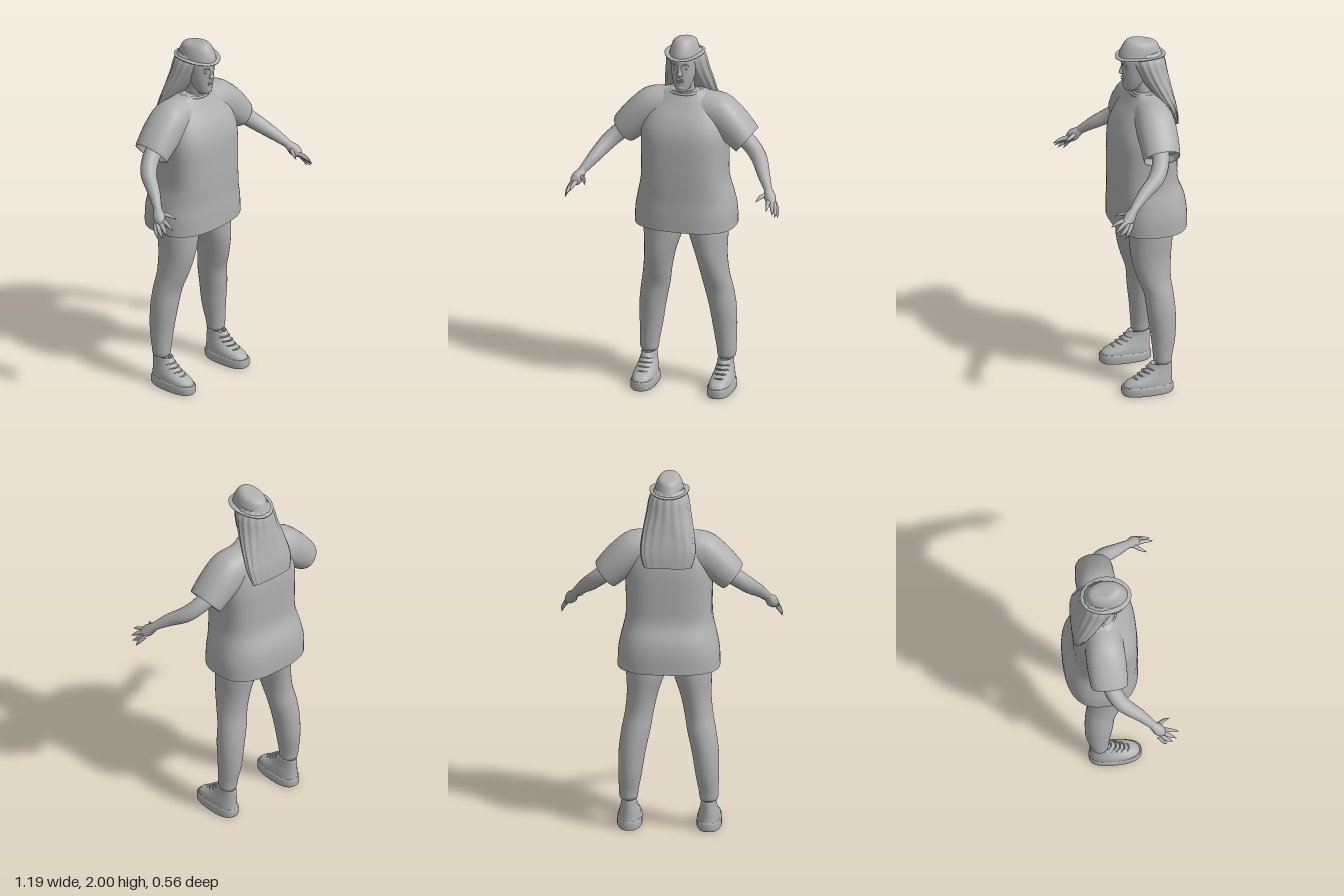
import * as THREE from 'three';

const grey = new THREE.MeshStandardMaterial({ color: 0xb0b0b0 });
grey.name = 'clay grey';

// Ring: [x, y, z, half width, half depth, squareness, tilt]; rings run from bottom to top.
function loft(rings, { sides = 32, steps = 4, ripple = 0, rule = null } = {}) {
  const full = rings.map(r => [r[0], r[1], r[2], r[3], r[4], r[5] ?? 2, r[6] ?? 0]);
  const rows = [];
  for (let i = 0; i < full.length - 1; i++) {
    const a = full[Math.max(i - 1, 0)], b = full[i], c = full[i + 1], d = full[Math.min(i + 2, full.length - 1)];
    for (let s = 0; s < steps; s++) {
      const t = s / steps;
      rows.push(b.map((v, k) => v + 0.5 * t * (c[k] - a[k]
        + t * (2 * a[k] - 5 * v + 4 * c[k] - d[k] + t * (3 * (v - c[k]) + d[k] - a[k])))));
    }
  }
  rows.push(full[full.length - 1]);
  const pos = [], idx = [];
  const addRow = ([x, y, z, a, b, n, tilt]) => {
    for (let j = 0; j < sides; j++) {
      const th = (j / sides) * Math.PI * 2, c = Math.cos(th), s = Math.sin(th);
      const k = 1 + ripple * Math.sin(th * 16);
      const u = Math.sign(c) * Math.abs(c) ** (2 / n) * a * k;
      const w = Math.sign(s) * Math.abs(s) ** (2 / n) * b * k;
      pos.push(x + u * Math.cos(tilt), y + u * Math.sin(tilt), z + w);
    }
  };
  rows.forEach(addRow);
  for (let i = 0; i < rows.length - 1; i++) {
    for (let j = 0; j < sides; j++) {
      const p = i * sides + j, q = i * sides + (j + 1) % sides;
      idx.push(p, p + sides, q, q, p + sides, q + sides);
    }
  }
  // end caps with their own corners, so that the rims stay sharp
  [rows[0], rows[rows.length - 1]].forEach((row, end) => {
    const base = pos.length / 3;
    addRow(row);
    pos.push(row[0], row[1], row[2]);
    for (let j = 0; j < sides; j++) {
      const p = base + j, q = base + (j + 1) % sides;
      idx.push(base + sides, end ? q : p, end ? p : q);
    }
  });
  if (rule) for (let i = 0; i < pos.length; i += 3) pos[i + 1] += rule(pos[i], pos[i + 1], pos[i + 2]);
  const geo = new THREE.BufferGeometry();
  geo.setAttribute('position', new THREE.Float32BufferAttribute(pos, 3));
  geo.setIndex(idx);
  geo.computeVertexNormals();
  return geo;
}

// Round limb along a curve whose radius changes evenly between the given values.
function limb(points, radii, segments = 16, sides = 14) {
  const curve = new THREE.CatmullRomCurve3(points.map(p => new THREE.Vector3(...p)));
  const geo = new THREE.TubeGeometry(curve, segments, 1, sides, false);
  const pos = geo.attributes.position, v = new THREE.Vector3();
  for (let i = 0; i <= segments; i++) {
    const c = curve.getPointAt(i / segments), f = (i / segments) * (radii.length - 1);
    const k = Math.min(Math.floor(f), radii.length - 2);
    const r = THREE.MathUtils.lerp(radii[k], radii[k + 1], f - k);
    for (let j = 0; j <= sides; j++) {
      const n = i * (sides + 1) + j;
      v.fromBufferAttribute(pos, n).sub(c).multiplyScalar(r).add(c);
      pos.setXYZ(n, v.x, v.y, v.z);
    }
  }
  return geo;
}

function ball(x, y, z, a, b, c) {
  return new THREE.SphereGeometry(1, 16, 12).scale(a, b, c).translate(x, y, z);
}

function mirrored(geo) {
  const g = geo.clone().scale(-1, 1, 1), idx = g.index.array;
  for (let i = 0; i < idx.length; i += 3) [idx[i], idx[i + 1]] = [idx[i + 1], idx[i]];
  g.computeVertexNormals();
  return g;
}

export function createModel() {
  const model = new THREE.Group();
  model.name = 'standingFigure';
  const add = (name, geo) => {
    const mesh = new THREE.Mesh(geo, grey);
    mesh.name = name;
    model.add(mesh);
  };
  const pair = (name, geo) => {
    add('left' + name, geo);
    add('right' + name, mirrored(geo));
  };

  // Loose shirt
  add('shirtBody', loft([
    [0, 0.93, -0.08, 0.275, 0.2, 2.6], [0, 1.02, -0.08, 0.272, 0.2, 2.6],
    [0, 1.1, -0.075, 0.257, 0.193, 2.6], [0, 1.2, -0.056, 0.234, 0.175, 2.9],
    [0, 1.32, -0.055, 0.232, 0.173, 2.9], [0, 1.45, -0.058, 0.235, 0.17, 2.8],
    [0, 1.54, -0.068, 0.222, 0.152, 2.5], [0, 1.62, -0.08, 0.195, 0.115, 2.3],
    [0, 1.67, -0.078, 0.15, 0.085, 2], [0, 1.692, -0.07, 0.095, 0.07, 2],
  ], { sides: 48 }));
  add('collar', new THREE.TorusGeometry(0.08, 0.007, 8, 32).rotateX(Math.PI / 2)
    .scale(1.1, 1, 0.85).rotateX(0.12).translate(0, 1.688, -0.06));
  pair('Sleeve', loft([
    [0.315, 1.455, -0.07, 0.07, 0.085, 2.2, 0.89], [0.335, 1.438, -0.07, 0.079, 0.094, 2.2, 0.89],
    [0.335, 1.438, -0.07, 0.085, 0.1, 2.2, 0.89], [0.265, 1.508, -0.073, 0.102, 0.106, 2.2, 1.14],
    [0.19, 1.56, -0.075, 0.117, 0.106, 2.2, 1.42], [0.08, 1.575, -0.075, 0.112, 0.1, 2, 1.57],
  ], { steps: 3 }));

  // Arms and hands
  pair('Arm', limb([[0.27, 1.48, -0.075], [0.36, 1.415, -0.055], [0.42, 1.36, -0.015],
    [0.475, 1.295, 0.075], [0.522, 1.235, 0.145]], [0.05, 0.047, 0.043, 0.034, 0.021]));
  pair('Palm', limb([[0.512, 1.245, 0.13], [0.528, 1.222, 0.155], [0.546, 1.192, 0.182], [0.56, 1.17, 0.205]],
    [0.02, 0.026, 0.033, 0.027, 0.002]));
  const fingers = [
    [[0.527, 1.22, 0.155], [0.495, 1.212, 0.195], [0.476, 1.195, 0.236]],
    [[0.535, 1.195, 0.19], [0.543, 1.185, 0.235], [0.547, 1.165, 0.278]],
    [[0.55, 1.187, 0.19], [0.566, 1.165, 0.228], [0.575, 1.138, 0.262]],
    [[0.562, 1.18, 0.18], [0.578, 1.15, 0.207], [0.584, 1.12, 0.242]],
    [[0.562, 1.18, 0.165], [0.583, 1.145, 0.186], [0.591, 1.108, 0.208]],
  ];
  fingers.forEach((path, i) => pair(i ? 'Finger' + i : 'Thumb', limb(path, [0.013, 0.012, 0.009, 0.001], 8, 8)));

  // Legs and ankles
  pair('Leg', loft([
    [0.215, 0.165, -0.108, 0.036, 0.036], [0.215, 0.18, -0.108, 0.049, 0.048], [0.214, 0.22, -0.109, 0.053, 0.053],
    [0.206, 0.32, -0.114, 0.063, 0.067], [0.195, 0.45, -0.108, 0.073, 0.077],
    [0.176, 0.56, -0.098, 0.078, 0.08], [0.16, 0.65, -0.077, 0.077, 0.091],
    [0.143, 0.76, -0.065, 0.084, 0.108], [0.126, 0.88, -0.068, 0.105, 0.119], [0.117, 1.0, -0.07, 0.115, 0.12],
  ]));
  pair('Ankle', limb([[0.213, 0.09, -0.11], [0.213, 0.14, -0.11], [0.214, 0.2, -0.11]], [0.038, 0.037, 0.037], 4));

  // Laced shoes
  pair('ShoeSole', loft([
    [0.213, 0, -0.024, 0.062, 0.136, 2.5], [0.213, 0.008, -0.024, 0.067, 0.142, 2.5],
    [0.213, 0.042, -0.024, 0.067, 0.143, 2.5], [0.213, 0.05, -0.024, 0.061, 0.138, 2.5],
  ], { steps: 1 }));
  pair('ShoeUpper', loft([
    [0.213, 0.045, -0.026, 0.061, 0.136, 2.4], [0.213, 0.068, -0.032, 0.06, 0.128, 2.3],
    [0.213, 0.09, -0.055, 0.055, 0.105, 2.2], [0.213, 0.12, -0.08, 0.047, 0.081, 2.1],
    [0.213, 0.15, -0.094, 0.042, 0.067], [0.213, 0.165, -0.098, 0.042, 0.062],
    [0.213, 0.166, -0.098, 0.034, 0.054], [0.213, 0.145, -0.098, 0.03, 0.05],
  ], { steps: 2 }));
  for (let i = 0; i < 4; i++) {
    const y = 0.088 + i * 0.018, z = 0.048 - i * 0.023;
    pair('Lace' + (i + 1), limb([[0.178, y - 0.004, z - 0.03], [0.2, y + 0.005, z],
      [0.226, y + 0.005, z], [0.248, y - 0.004, z - 0.03]], [0.004, 0.005, 0.004], 8, 6));
  }

  // Neck, head and face
  add('neck', limb([[0, 1.62, -0.075], [0, 1.69, -0.06], [0, 1.78, -0.045]], [0.065, 0.05, 0.048], 8, 20));
  add('head', loft([
    [0, 1.7, 0.005, 0.02, 0.028], [0, 1.712, 0.002, 0.036, 0.044], [0, 1.745, -0.01, 0.051, 0.06],
    [0, 1.79, -0.022, 0.063, 0.076], [0, 1.84, -0.033, 0.07, 0.09],
    [0, 1.89, -0.04, 0.072, 0.096], [0, 1.94, -0.045, 0.058, 0.08],
  ]));
  add('nose', loft([
    [0, 1.8, 0.05, 0.009, 0.012], [0, 1.806, 0.055, 0.016, 0.018], [0, 1.818, 0.054, 0.013, 0.016],
    [0, 1.845, 0.05, 0.008, 0.011], [0, 1.868, 0.048, 0.007, 0.007],
  ], { sides: 16 }));
  add('upperLip', ball(0, 1.777, 0.05, 0.022, 0.006, 0.011));
  add('lowerLip', ball(0, 1.766, 0.047, 0.019, 0.006, 0.011));
  add('chin', ball(0, 1.73, 0.036, 0.022, 0.018, 0.016));
  pair('Eye', ball(0.027, 1.843, 0.042, 0.014, 0.008, 0.009));
  pair('Brow', limb([[0.012, 1.86, 0.054], [0.028, 1.866, 0.05], [0.046, 1.858, 0.038]], [0.004, 0.005, 0.002], 8, 8));

  // Long straight hair
  add('hair', loft([
    [0, 1.52, -0.217, 0.125, 0.018, 2.6], [0, 1.6, -0.196, 0.145, 0.034, 2.5], [0, 1.7, -0.15, 0.137, 0.061, 2.3],
    [0, 1.8, -0.104, 0.119, 0.088], [0, 1.88, -0.078, 0.104, 0.098], [0, 1.925, -0.07, 0.075, 0.08],
  ], { sides: 96, ripple: 0.025 }));

  // Brimmed hat with a crown that slopes back
  add('hatCrown', loft([
    [0, 1.895, -0.045, 0.082, 0.118], [0, 1.92, -0.046, 0.077, 0.113], [0, 1.95, -0.05, 0.069, 0.1],
    [0, 1.975, -0.056, 0.056, 0.084], [0, 1.986, -0.06, 0.035, 0.06], [0, 1.987, -0.062, 0.012, 0.025],
  ], { rule: (x, y, z) => Math.max(0, y - 1.9) * (z + 0.06) * 2.2 }));
  add('hatBrim', loft([
    [0, 1.888, -0.045, 0.075, 0.108], [0, 1.894, -0.047, 0.106, 0.137],
    [0, 1.9, -0.047, 0.107, 0.138], [0, 1.904, -0.045, 0.08, 0.112],
  ], { steps: 1, rule: (x, y, z) => 1.1 * x * x }));
  return model;
}
